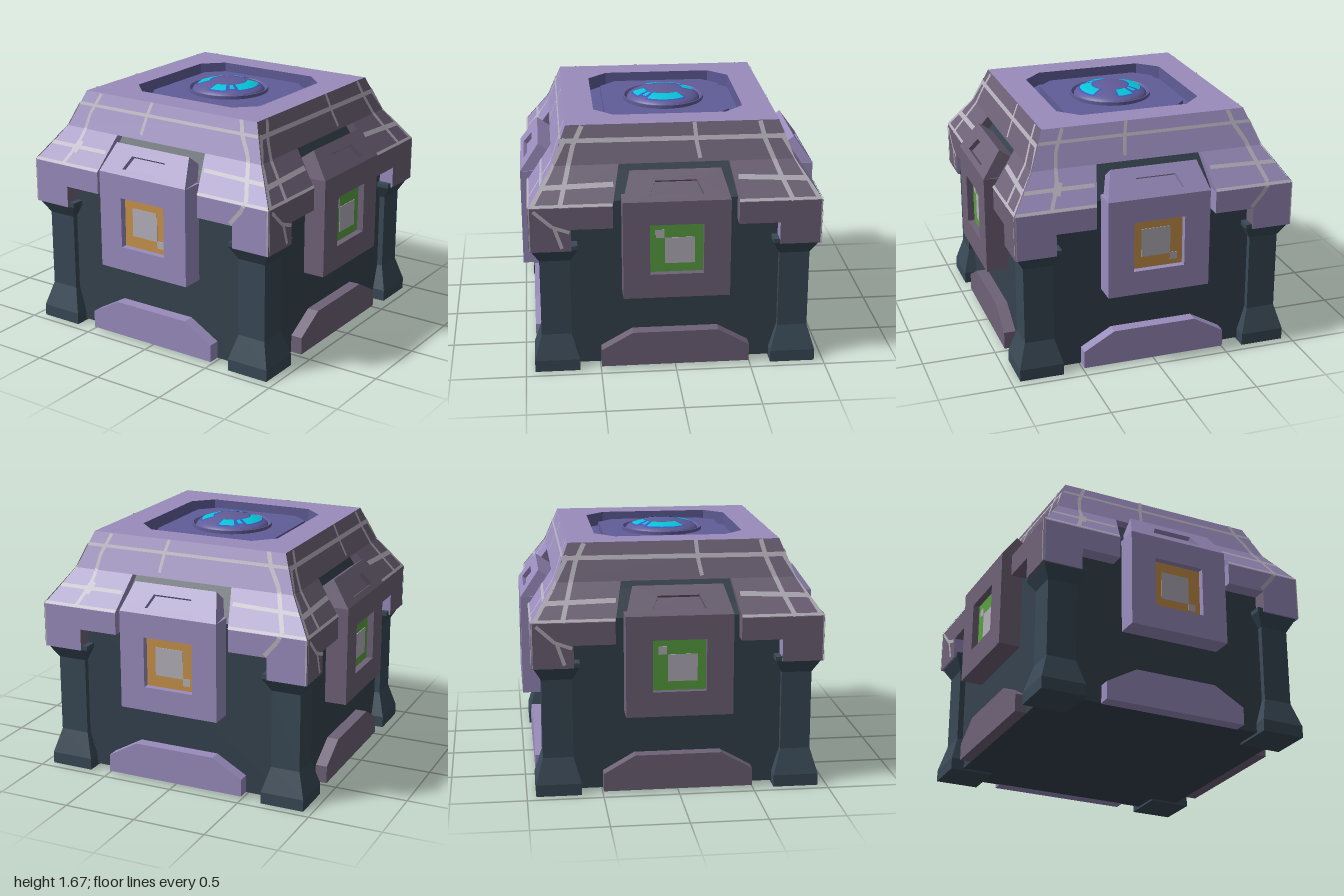
import * as THREE from 'three';

const mat = (name, color, side = THREE.FrontSide) => {
  const m = new THREE.MeshStandardMaterial({ color, side });
  m.name = name;
  return m;
};
const lerp = THREE.MathUtils.lerp;

export function createModel() {
  const lilac = mat('lilac', 0x998cbc), mauve = mat('mauve', 0x6e6277);
  const slate = mat('slate', 0x35424e), steel = mat('steel', 0x394956);
  const indigo = mat('indigo', 0x605c98), blue = mat('blue', 0x4254c4, THREE.DoubleSide);
  const cyan = mat('cyan', 0x06c6d6, THREE.DoubleSide), grey = mat('grey', 0xb4b0bb, THREE.DoubleSide);
  const orange = mat('orange', 0xc8924a), green = mat('green', 0x59a040);

  const model = new THREE.Group();
  model.name = 'crate';
  const add = (parent, name, geo, material) => {
    const mesh = new THREE.Mesh(geo, material);
    mesh.name = name;
    parent.add(mesh);
    return mesh;
  };
  const flat = (geo) => {
    const g = geo.index ? geo.toNonIndexed() : geo;
    g.computeVertexNormals();
    return g;
  };
  // Box given by its two extreme corners
  const box = (x0, x1, y0, y1, z0, z1) => new THREE.BoxGeometry(x1 - x0, y1 - y0, z1 - z0)
    .translate((x0 + x1) / 2, (y0 + y1) / 2, (z0 + z1) / 2);
  // Square column from [half width, y] pairs, bottom to top
  const column = (pts) => flat(new THREE.LatheGeometry(
    pts.map(([r, y]) => new THREE.Vector2(r * Math.SQRT2, y)), 4, Math.PI / 4));
  const outline = (pts, hole) => {
    const s = new THREE.Shape(pts.map((p) => new THREE.Vector2(...p)));
    if (hole) s.holes.push(new THREE.Path(hole.map((p) => new THREE.Vector2(...p))));
    return s;
  };
  const rect = (x0, x1, y0, y1) => [[x0, y0], [x1, y0], [x1, y1], [x0, y1]];
  const octagon = (r, c) => [[r, c], [c, r], [-c, r], [-r, c], [-r, -c], [-c, -r], [c, -r], [r, -c]];
  const extrude = (shape, depth) => new THREE.ExtrudeGeometry(shape, { depth, bevelEnabled: false });
  const polygons = (list) => {
    const pos = [];
    for (const p of list) for (let i = 1; i < p.length - 1; i++) pos.push(...p[0], ...p[i], ...p[i + 1]);
    const g = new THREE.BufferGeometry();
    g.setAttribute('position', new THREE.Float32BufferAttribute(pos, 3));
    return flat(g);
  };

  // Roof profile: distance from the centre at height y
  const EDGE = 0.953, FOLD = 0.79, RIM = 0.695;
  const roofDepth = (y) => y < 1.17 ? EDGE
    : y < 1.4 ? lerp(EDGE, FOLD, (y - 1.17) / 0.23) : lerp(FOLD, RIM, (y - 1.4) / 0.24);
  const onRoof = (u, y) => {
    y = THREE.MathUtils.clamp(y, 0.873, 1.638);
    const d = roofDepth(y);
    return [THREE.MathUtils.clamp(u, -d, d), y + 0.003, d + 0.005];
  };
  // Painted vein: a thin ribbon through [u, y] points laid over the roof
  const vein = ([width, ...pts]) => {
    const quads = [];
    for (let i = 0; i < pts.length - 1; i++) {
      const [[u0, y0], [u1, y1]] = [pts[i], pts[i + 1]];
      const len = Math.hypot(u1 - u0, y1 - y0), n = Math.ceil(len / 0.02);
      const a = -(y1 - y0) / len * width / 2, b = (u1 - u0) / len * width / 2;
      for (let k = 0; k < n; k++) {
        const p = [lerp(u0, u1, k / n), lerp(y0, y1, k / n)];
        const q = [lerp(u0, u1, (k + 1) / n), lerp(y0, y1, (k + 1) / n)];
        quads.push([onRoof(p[0] - a, p[1] - b), onRoof(q[0] - a, q[1] - b),
          onRoof(q[0] + a, q[1] + b), onRoof(p[0] + a, p[1] + b)]);
      }
    }
    return quads;
  };
  const edgeVeins = [
    [0.016, [-0.95, 1.18], [-0.41, 1.18]], [0.016, [0.41, 1.18], [0.95, 1.18]],
    [0.008, [-0.947, 1.17], [-0.947, 0.87]], [0.008, [0.947, 1.17], [0.947, 0.87]],
  ];
  const frontVeins = [
    [0.02, [-0.73, 1.555], [0.73, 1.555]],
    [0.022, [-0.87, 1.29], [-0.4, 1.29]], [0.022, [0.4, 1.31], [0.87, 1.3]],
    [0.024, [-0.56, 1.635], [-0.62, 1.5], [-0.645, 1.31], [-0.71, 1.18]],
    [0.05, [-0.63, 1.33], [-0.66, 1.26]],
    [0.022, [-0.13, 1.64], [-0.15, 1.55], [-0.165, 1.43]],
    [0.028, [0.58, 1.64], [0.61, 1.55], [0.68, 1.44], [0.73, 1.31], [0.78, 1.19], [0.75, 1.13], [0.665, 1.03]],
  ];
  const sideVeins = [
    [0.028, [-0.74, 1.545], [0.74, 1.54]],
    [0.028, [-0.88, 1.28], [-0.4, 1.29]], [0.028, [0.41, 1.31], [0.87, 1.29]],
    [0.03, [-0.59, 1.635], [-0.65, 1.52], [-0.7, 1.34], [-0.75, 1.17]],
    [0.03, [-0.7, 1.56], [-0.81, 1.36], [-0.93, 1.18]],
    [0.026, [0.14, 1.64], [0.15, 1.52], [0.17, 1.42]],
    [0.03, [0.57, 1.635], [0.6, 1.52], [0.69, 1.31], [0.76, 1.17]],
    [0.03, [0.71, 1.55], [0.8, 1.4], [0.93, 1.18]],
    [0.024, [-0.92, 1.15], [-0.8, 1.04], [-0.69, 1.0]], [0.024, [-0.79, 1.04], [-0.74, 0.89]],
  ];

  // Main body and corner legs
  add(model, 'body', column([[0, 0.015], [0.85, 0.015], [0.85, 1.17], [0.72, 1.4], [0, 1.4]]), slate);
  for (const x of [-0.79, 0.79]) for (const z of [-0.79, 0.79]) {
    add(model, 'leg', column([[0, 0], [0.15, 0], [0.15, 0.08], [0.1, 0.25], [0.1, 0.78],
      [0.15, 0.87], [0.15, 0.9], [0, 0.9]]), steel).position.set(x, 0, z);
  }

  // Four sides, each built facing +z and turned into place
  for (let k = 0; k < 4; k++) {
    const odd = k % 2, own = odd ? mauve : lilac, other = odd ? lilac : mauve;
    const side = new THREE.Group();
    side.name = ['frontSide', 'leftSide', 'backSide', 'rightSide'][k];
    side.rotation.y = k * Math.PI / 2;
    model.add(side);

    // Sloping roof with a notch for the clasp
    const roof = [
      [[-FOLD, 1.4, FOLD], [FOLD, 1.4, FOLD], [RIM, 1.64, RIM], [-RIM, 1.64, RIM]],
      [[-0.36, 1.4, FOLD], [-0.36, 1.4, 0.7], [0.36, 1.4, 0.7], [0.36, 1.4, FOLD]],
    ];
    for (const s of [1, -1]) {
      const pair = [
        [[0.41, 1.17, EDGE], [EDGE, 1.17, EDGE], [FOLD, 1.4, FOLD], [0.36, 1.4, FOLD]],
        [[0.41, 1.17, EDGE], [0.36, 1.4, FOLD], [0.36, 1.4, 0.7], [0.41, 1.17, 0.83]],
      ].map((q) => q.map(([x, y, z]) => [x * s, y, z]));
      roof.push(...(s < 0 ? pair.map((q) => q.reverse()) : pair));
      const [x0, x1] = s > 0 ? [0.41, 0.68] : [-0.68, -0.41];
      add(side, 'skirt', box(x0, x1, 1.02, 1.17, 0.83, EDGE), own);
    }
    add(side, 'roofSlope', polygons(roof), own);
    add(side, 'skirtCorner', box(0.68, EDGE, 0.87, 1.17, 0.68, EDGE), [other, other, own, own, own, own]);
    add(side, 'veins', polygons([...edgeVeins, ...(odd ? sideVeins : frontVeins)].flatMap(vein)), grey);

    // Clasp with a recessed screen and a slanted, slotted hood
    const clasp = new THREE.Group();
    clasp.name = 'clasp';
    side.add(clasp);
    add(clasp, 'claspBack', box(-0.35, 0.35, 0.54, 1.21, 0.84, 0.95), own);
    add(clasp, 'claspFrame', extrude(outline(rect(-0.35, 0.35, 0.54, 1.21),
      rect(-0.175, 0.175, 0.705, 1.05)), 0.05).translate(0, 0, 0.95), own);
    const hood = [[-0.35, 0], [0.35, 0], [0.295, 0.215], [-0.295, 0.215]];
    const slot = [[-0.175, 0.043], [0.175, 0.043], [0.135, 0.141], [-0.135, 0.141]];
    const tilt = Math.atan2(0.125, 0.175);
    const slant = (shape, back, depth) => extrude(shape, depth).translate(0, 0, back)
      .rotateX(-tilt).translate(0, 1.21, 1);
    add(clasp, 'hoodFrame', slant(outline(hood, slot), -0.03, 0.03), own);
    add(clasp, 'hoodBack', slant(outline(hood), -0.15, 0.12), own);
    add(clasp, 'screen', box(-0.175, 0.175, 0.705, 1.05, 0.948, 0.955), odd ? green : orange);
    const marks = odd ? [[-0.075, 0.12, 0.765, 0.945], [-0.135, -0.08, 0.945, 1.0]]
      : [[-0.11, 0.09, 0.785, 0.98], [0.09, 0.14, 0.74, 0.79]];
    for (const m of marks) add(clasp, 'screenMark', box(...m, 0.952, 0.959), grey);

    // Trapezoid kick plate
    add(side, 'kickPlate', extrude(outline([[-0.495, 0.015], [0.495, 0.015], [0.495, 0.135],
      [0.285, 0.255], [-0.285, 0.255], [-0.495, 0.135]]), 0.09).translate(0, 0, 0.84), own);
  }

  // Lid with an octagonal well and a raised platform inside it
  const lay = (shape, y, depth) => extrude(shape, depth).rotateX(-Math.PI / 2).translate(0, y, 0);
  add(model, 'lid', lay(outline(rect(-RIM, RIM, -RIM, RIM), octagon(0.5, 0.37)), 1.54, 0.1), [lilac, indigo]);
  add(model, 'wellFloor', lay(outline(octagon(0.52, 0.39)), 1.52, 0.03), indigo);
  add(model, 'platform', lay(outline(octagon(0.42, 0.31)), 1.54, 0.06), indigo);

  // Round collar and shallow dome
  add(model, 'collar', flat(new THREE.LatheGeometry([[0.277, 1.595], [0.277, 1.622], [0.268, 1.622], [0.25, 1.6]]
    .map((p) => new THREE.Vector2(...p)), 48)), indigo);
  const domeY = (r) => 1.6 + 0.07 * Math.sqrt(Math.max(0, 1 - (r / 0.252) ** 2));
  const domePts = Array.from({ length: 13 }, (_, i) => {
    const r = 0.252 * Math.cos(i / 12 * Math.PI / 2);
    return new THREE.Vector2(Math.max(r, 0), domeY(r));
  });
  add(model, 'dome', new THREE.LatheGeometry(domePts, 48), indigo);

  // Glowing arcs on the dome, each with a blue border
  const arc = (a0, a1, r0, r1, lift) => {
    const g = new THREE.PlaneGeometry(1, 1, 16, 6), p = g.attributes.position;
    for (let i = 0; i < p.count; i++) {
      const a = lerp(a0, a1, p.getX(i) + 0.5) * Math.PI / 180, r = lerp(r0, r1, 0.5 - p.getY(i));
      p.setXYZ(i, r * Math.cos(a), domeY(r) + lift, r * Math.sin(a));
    }
    // Winding faces up when the angle runs the other way round
    g.setIndex(Array.from(g.index.array).reverse());
    g.computeVertexNormals();
    if (g.attributes.normal.getY(0) < 0) {
      g.setIndex(Array.from(g.index.array).reverse());
      g.computeVertexNormals();
    }
    return g;
  };
  for (const turn of [0, 180]) {
    for (const [a0, a1, r0, r1] of [[-38, 36, 0.13, 0.208], [43, 53, 0.135, 0.19], [61, 92, 0.13, 0.208]]) {
      add(model, 'arcBorder', arc(a0 + turn - 4, a1 + turn + 4, r0 - 0.012, r1 + 0.01, 0.003), blue);
      add(model, 'arcGlow', arc(a0 + turn, a1 + turn, r0, r1, 0.006), cyan);
    }
  }
  return model;
}
